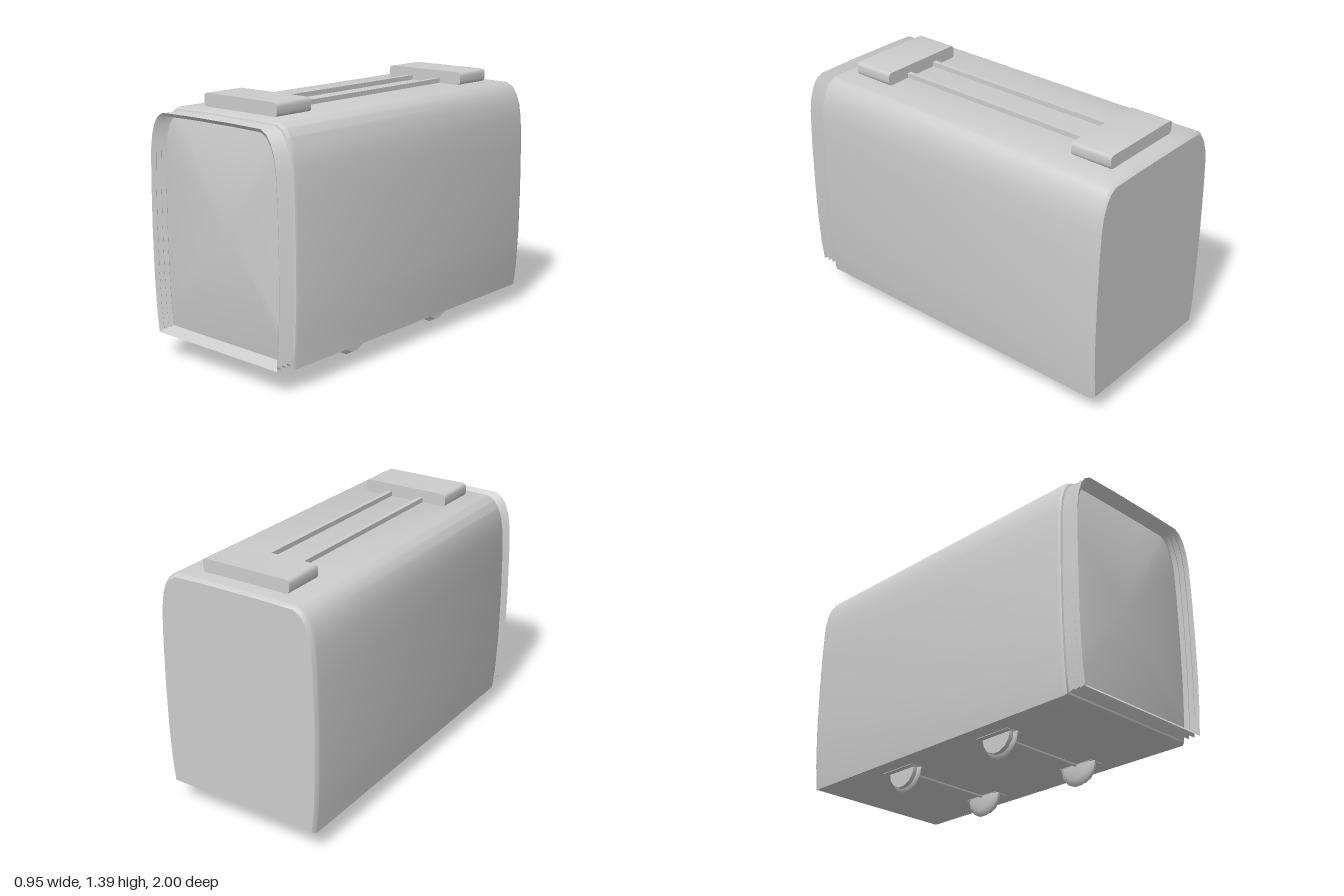
import * as THREE from 'three';
import { toCreasedNormals } from 'three/addons/utils/BufferGeometryUtils.js';

// Right half of the body cross-section, bottom to top
const HALF = [
  [0.45, 0.117], [0.464, 0.25], [0.473, 0.45], [0.475, 0.7], [0.471, 0.95], [0.463, 1.12],
  [0.45, 1.2], [0.428, 1.26], [0.4, 1.3], [0.36, 1.322], [0.15, 1.326],
];
const SECTION = [...HALF, ...HALF.slice().reverse().map(([x, y]) => [-x, y])];
const MID_Y = 0.72;

// Lofts the section along z; each ring is [z, inset], optionally closed by end caps
function loft(rings, capped) {
  const n = SECTION.length;
  const pos = [];
  const idx = [];
  for (const [z, inset] of rings) {
    for (const [x, y] of SECTION) {
      pos.push(x * (1 - inset / 0.475), MID_Y + (y - MID_Y) * (1 - inset / 0.605), z);
    }
  }
  for (let r = 0; r < rings.length - 1; r++) {
    for (let i = 0; i < n; i++) {
      const j = (i + 1) % n;
      const a = r * n;
      const b = a + n;
      idx.push(a + i, a + j, b + j, a + i, b + j, b + i);
    }
  }
  if (capped) {
    const last = (rings.length - 1) * n;
    const c = pos.length / 3;
    pos.push(0, MID_Y, rings[0][0], 0, MID_Y, rings[rings.length - 1][0]);
    for (let i = 0; i < n; i++) {
      const j = (i + 1) % n;
      idx.push(c, j, i, c + 1, last + i, last + j);
    }
  }
  const g = new THREE.BufferGeometry();
  g.setAttribute('position', new THREE.Float32BufferAttribute(pos, 3));
  g.setIndex(idx);
  return toCreasedNormals(g, 0.6);
}

export function createModel() {
  const model = new THREE.Group();
  model.name = 'railCarriage';
  const grey = new THREE.MeshStandardMaterial({ color: 0xcccccc, side: THREE.DoubleSide });
  grey.name = 'lightGrey';

  const add = (name, geometry, x = 0, y = 0, z = 0, parent = model) => {
    const mesh = new THREE.Mesh(geometry, grey);
    mesh.name = name;
    mesh.position.set(x, y, z);
    parent.add(mesh);
    return mesh;
  };

  // Body shell with small chamfers at both ends
  add('body', loft([[-1, 0.014], [-0.985, 0.003], [-0.97, 0], [0.88, 0], [0.895, 0.008], [0.902, 0.025]], true));

  // Open gangway bellows with three folds
  const folds = [];
  for (let i = 0; i <= 6; i++) folds.push([0.9 + i / 60, i % 2 ? 0.035 : 0.016]);
  add('gangwayBellows', loft(folds, false));

  // Roof units with rounded long edges
  const roofUnit = (name, zMin, zMax) => {
    const w = 0.257, h = 0.072, r = 0.022;
    const s = new THREE.Shape();
    s.moveTo(-w + r, 0);
    s.lineTo(w - r, 0);
    s.quadraticCurveTo(w, 0, w, r);
    s.lineTo(w, h - r);
    s.quadraticCurveTo(w, h, w - r, h);
    s.lineTo(-w + r, h);
    s.quadraticCurveTo(-w, h, -w, h - r);
    s.lineTo(-w, r);
    s.quadraticCurveTo(-w, 0, -w + r, 0);
    const g = new THREE.ExtrudeGeometry(s, { depth: zMax - zMin, bevelEnabled: false, curveSegments: 3 });
    add(name, toCreasedNormals(g, 0.7), 0, 1.324, zMin);
  };
  roofUnit('frontRoofUnit', 0.56, 0.8);
  roofUnit('rearRoofUnit', -0.9, -0.665);

  // Twin conduits joining the roof units
  for (const s of [-1, 1]) {
    add(s > 0 ? 'leftConduit' : 'rightConduit', new THREE.BoxGeometry(0.026, 0.04, 1.23), s * 0.1, 1.332, -0.053);
  }

  // Wheel profile along its axle: inner hub, flange, tread, outer face
  const wheelProfile = [
    [0, 0], [0.085, 0], [0.112, 0.012], [0.119, 0.02], [0.112, 0.027], [0.1, 0.032], [0.097, 0.055], [0, 0.055],
  ].map(([r, d]) => new THREE.Vector2(r, d));
  const wheelGeometry = toCreasedNormals(new THREE.LatheGeometry(wheelProfile, 14), 0.6);
  const axleGeometry = new THREE.CylinderGeometry(0.01, 0.01, 0.56, 8);

  // Two wheelsets, half sunk into the floor
  for (const [name, z] of [['frontWheelset', 0.312], ['rearWheelset', -0.402]]) {
    const set = new THREE.Group();
    set.name = name;
    set.position.set(0, 0.119, z);
    model.add(set);
    for (const s of [-1, 1]) {
      const wheel = add(s > 0 ? 'leftWheel' : 'rightWheel', wheelGeometry, s * 0.27, 0, 0, set);
      wheel.rotation.z = -s * Math.PI / 2;
      add('wheelMount', new THREE.BoxGeometry(0.09, 0.016, 0.22), s * 0.313, 0.003, 0, set);
    }
    add('axle', axleGeometry, 0, -0.003, 0, set).rotation.z = Math.PI / 2;
  }
  return model;
}
